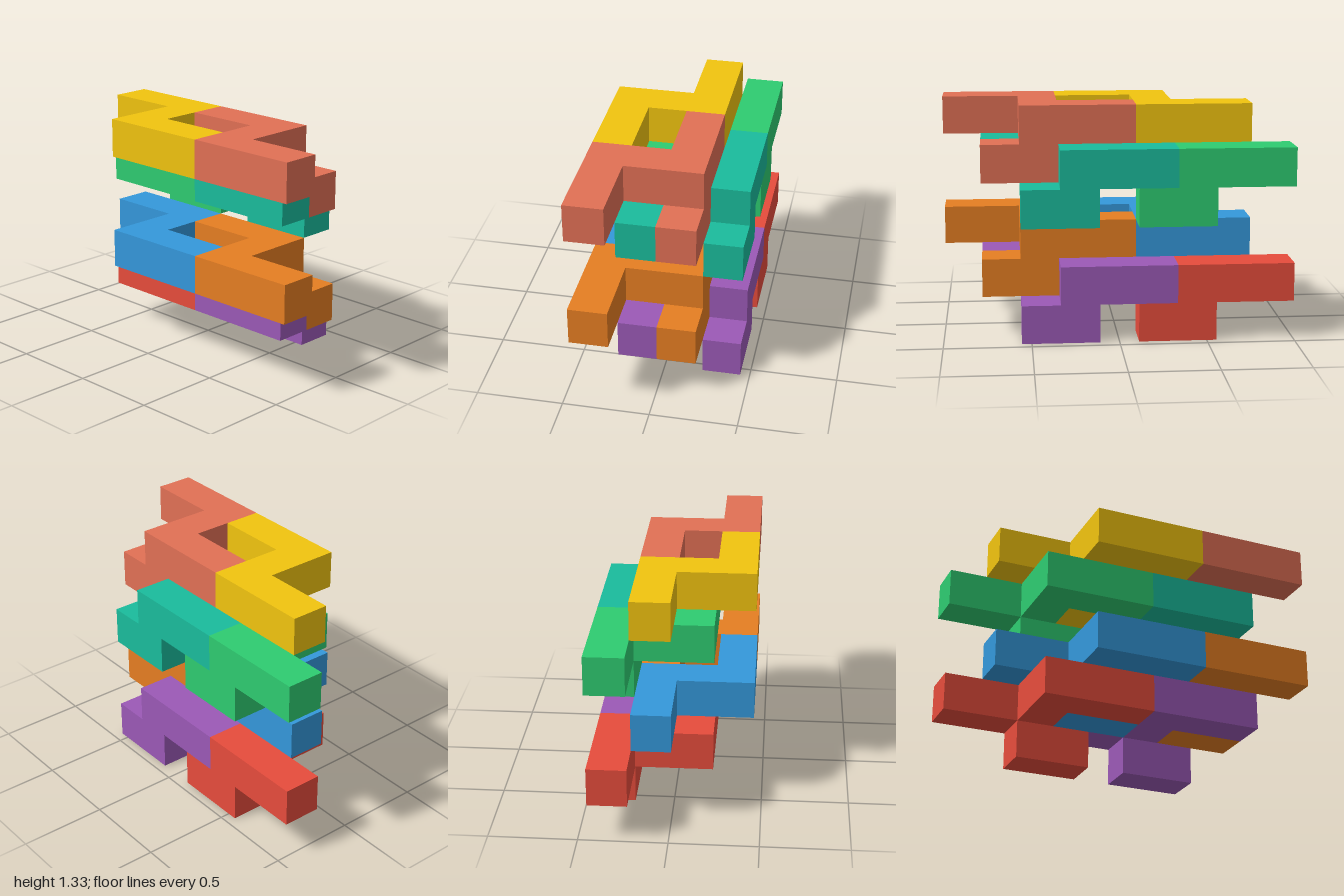
import * as THREE from 'three';

const U = 2 / 9; // edge of one cube cell

// Z-shaped slab, one cell thick, outline given in cells (x, z)
function slabGeometry() {
  const outline = [[0, 0], [3, 0], [3, 2], [5, 2], [5, 3], [2, 3], [2, 1], [0, 1]];
  const shape = new THREE.Shape(outline.map(([x, z]) => new THREE.Vector2(x * U, -z * U)));
  return new THREE.ExtrudeGeometry(shape, { depth: U, bevelEnabled: false }).rotateX(-Math.PI / 2);
}

// Two-cell foot hanging under the back arm of the slab
function footGeometry() {
  return new THREE.BoxGeometry(2 * U, U, U).translate(3 * U, -U / 2, U / 2);
}

export function createModel() {
  const model = new THREE.Group();
  model.name = 'interlockingBlocks';
  const slab = slabGeometry();
  const foot = footGeometry();

  // Every piece is the same block, shifted by whole cells
  const pieces = [
    ['redPiece', 0xe74c3c, 0, 1, 0],
    ['purplePiece', 0x9b59b6, 3, 1, 0],
    ['bluePiece', 0x3498db, 1, 2, 1],
    ['orangePiece', 0xe67e22, 4, 2, 1],
    ['greenPiece', 0x2ecc71, 0, 4, 0],
    ['tealPiece', 0x1abc9c, 3, 4, 0],
    ['yellowPiece', 0xf1c40f, 1, 5, 1],
    ['salmonPiece', 0xe17055, 4, 5, 1],
  ];

  for (const [name, color, x, y, z] of pieces) {
    const material = new THREE.MeshStandardMaterial({ color });
    const piece = new THREE.Group();
    piece.name = name;
    for (const [part, geometry] of [['slab', slab], ['foot', foot]]) {
      const mesh = new THREE.Mesh(geometry, material);
      mesh.name = part;
      piece.add(mesh);
    }
    piece.position.set(x * U - 1, y * U, (z - 2) * U);
    model.add(piece);
  }
  return model;
}
